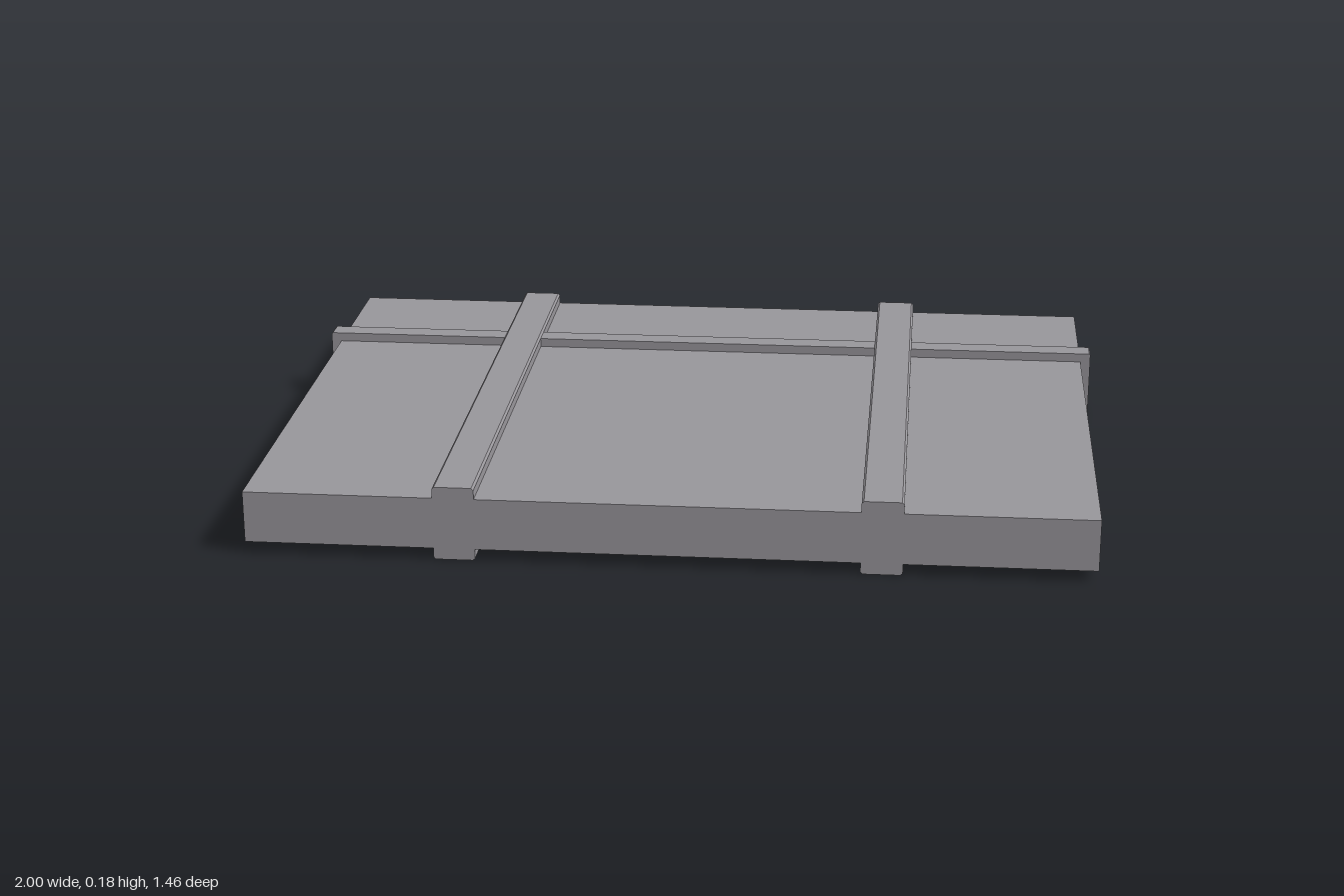
import * as THREE from 'three';

const HALF_W = 0.975, HALF_D = 0.73, BOTTOM = 0.027, TOP = 0.15;

// Polygon in x/y pulled along z, centred on the given z
function extrude(points, depth, z, hole) {
  const toVectors = (list) => list.map(([x, y]) => new THREE.Vector2(x, y));
  const shape = new THREE.Shape(toVectors(points));
  if (hole) shape.holes.push(new THREE.Path(toVectors(hole)));
  const geometry = new THREE.ExtrudeGeometry(shape, { depth, bevelEnabled: false });
  return geometry.translate(0, 0, z - depth / 2);
}

export function createModel() {
  const group = new THREE.Group();
  const grey = new THREE.MeshStandardMaterial({ color: 0x98969b });
  grey.name = 'warm grey';

  const add = (name, geometry) => {
    const mesh = new THREE.Mesh(geometry, grey);
    mesh.name = name;
    group.add(mesh);
    return mesh;
  };

  // Flat main slab
  const slab = add('slab', new THREE.BoxGeometry(HALF_W * 2, TOP - BOTTOM, HALF_D * 2));
  slab.position.y = (TOP + BOTTOM) / 2;

  // Front-to-back battens above and below, with slightly chamfered edges
  const w = 0.048, c = 0.005;
  for (const [side, x] of [['left', 0.488], ['right', -0.488]]) {
    add(side + 'TopBatten', extrude([
      [x - w, TOP], [x + w, TOP], [x + w, 0.177 - c],
      [x + w - c, 0.177], [x - w + c, 0.177], [x - w, 0.177 - c],
    ], HALF_D * 2, 0));
    add(side + 'BottomBatten', extrude([
      [x - w, BOTTOM], [x - w, c], [x - w + c, 0],
      [x + w - c, 0], [x + w, c], [x + w, BOTTOM],
    ], HALF_D * 2, 0));
  }

  // Narrow strap wrapped around the slab near the back
  const lo = 0.005, hi = 0.172, k = 0.003;
  add('crossStrap', extrude([
    [-1 + k, lo], [1 - k, lo], [1, lo + k], [1, hi - k],
    [1 - k, hi], [-1 + k, hi], [-1, hi - k], [-1, lo + k],
  ], 0.055, -0.38, [
    [-HALF_W, BOTTOM], [-HALF_W, TOP], [HALF_W, TOP], [HALF_W, BOTTOM],
  ]));

  return group;
}
